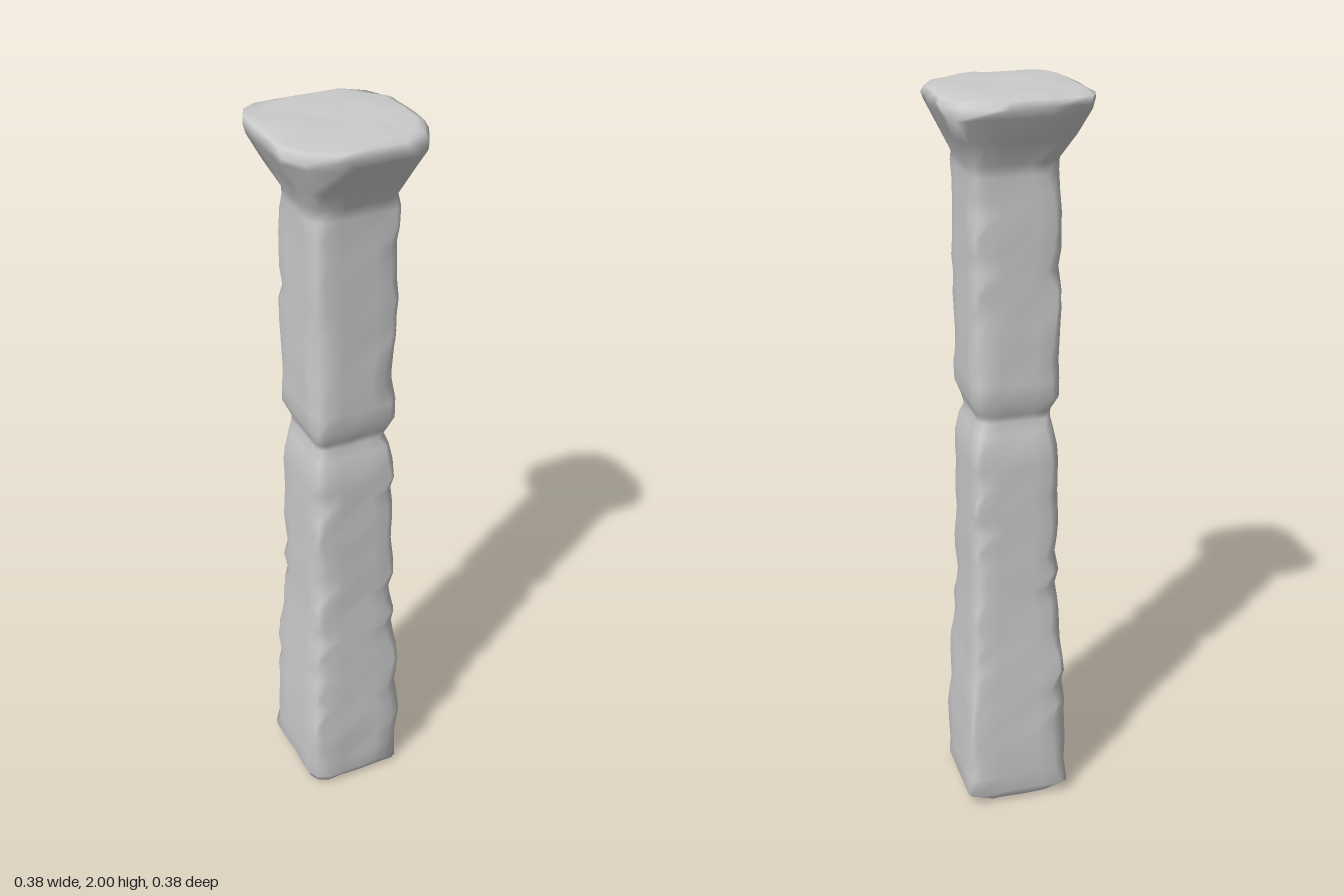
import * as THREE from 'three';

// Small seeded generator for the worn edges
function seeded(seed) {
  return () => {
    seed = (seed * 16807) % 2147483647;
    return seed / 2147483647;
  };
}

// Square outline with four individually worn corners: 6 points per quarter
function section(h, cuts) {
  const pts = [];
  for (let q = 0; q < 4; q++) {
    const c = Math.min(cuts[q], h * 0.6), k = h - c, m = h - 0.35 * c;
    const quarter = [[h, 0], [h, k * 0.55], [h, k], [m, m], [k, h], [k * 0.55, h]];
    const cos = [1, 0, -1, 0][q], sin = [0, 1, 0, -1][q];
    for (const [x, z] of quarter) pts.push([x * cos - z * sin, x * sin + z * cos]);
  }
  return pts;
}

// Key heights: [y, half width, corner wear]
const profile = [
  [0, 0, 0], [0, 0.07, 0.03], [0.002, 0.115, 0.04], [0.012, 0.136, 0.045], [0.035, 0.147, 0.04],
  [0.2, 0.146, 0.032], [0.4, 0.134, 0.032], [0.62, 0.121, 0.03], [1.08, 0.115, 0.03],
  [1.13, 0.105, 0.025], [1.16, 0.096, 0.022], [1.18, 0.1, 0.022], [1.22, 0.116, 0.028],
  [1.8, 0.116, 0.032], [1.83, 0.12, 0.04], [1.95, 0.18, 0.075], [1.975, 0.189, 0.085],
  [1.992, 0.183, 0.085], [1.999, 0.165, 0.08], [1.997, 0.09, 0.04], [1.994, 0, 0],
];

// Subdivide long stretches so the chipping has room to vary
function rows() {
  const out = [profile[0]];
  for (let i = 1; i < profile.length; i++) {
    const a = profile[i - 1], b = profile[i];
    const n = Math.max(1, Math.round((b[0] - a[0]) / 0.048));
    for (let s = 1; s <= n; s++) out.push(a.map((v, j) => v + (b[j] - v) * s / n));
  }
  return out;
}

function postGeometry() {
  const rand = seeded(7331), N = 24;
  const positions = [], index = [];
  const levels = rows();
  levels.forEach(([y, h, wear], i) => {
    const cuts = [0, 1, 2, 3].map(() => wear * (0.45 + 1.1 * rand()));
    const inCap = y < 0.01 || y > 1.99;
    section(h, cuts).forEach(([x, z], j) => {
      // Shallow hammered dents on the side faces
      const dent = h === 0 ? 1 : 1 - (inCap ? 0.015 : 0.04) * rand() * rand();
      // Top rim sags a little toward the corners
      const sag = y > 1.97 && h > 0.1 ? (j % 6 === 3 ? 0.012 : 0.004) * rand() : 0;
      positions.push(x * dent, y - sag, z * dent);
      if (i < levels.length - 1) {
        const a = i * N + j, b = i * N + (j + 1) % N;
        index.push(a, a + N, b, b, a + N, b + N);
      }
    });
  });
  const geo = new THREE.BufferGeometry();
  geo.setAttribute('position', new THREE.Float32BufferAttribute(positions, 3));
  geo.setIndex(index);
  geo.computeVertexNormals();
  return geo;
}

export function createModel() {
  const group = new THREE.Group();
  group.name = 'wornPillar';
  const post = new THREE.Mesh(postGeometry(), new THREE.MeshStandardMaterial({ color: 0xcccccc }));
  post.name = 'carvedPost';
  group.add(post);
  return group;
}
